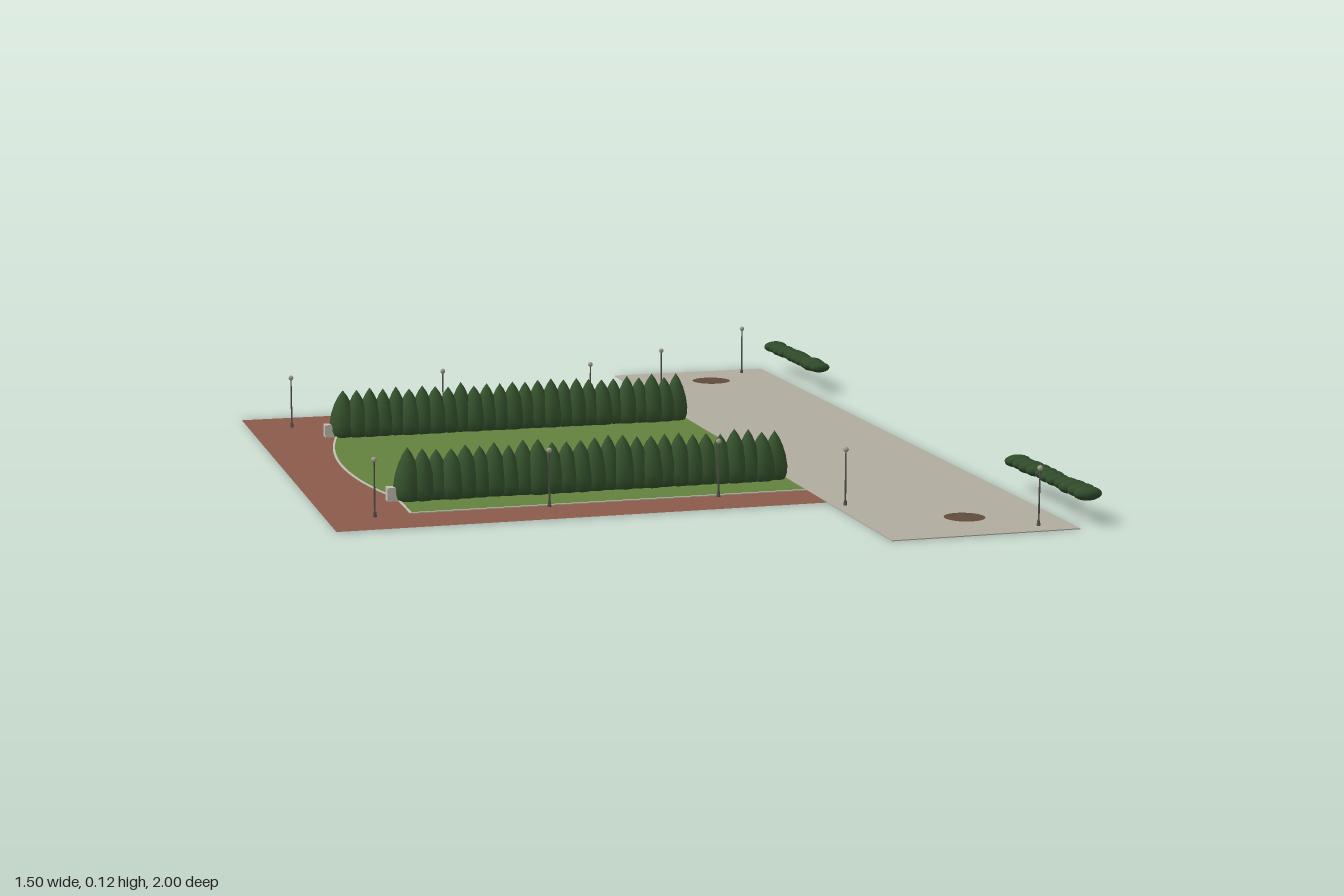
import * as THREE from 'three';

const mat = (name, color, side = THREE.FrontSide) => {
  const m = new THREE.MeshStandardMaterial({ color, side });
  m.name = name;
  return m;
};

export function createModel() {
  const root = new THREE.Group();
  root.name = 'parkPlaza';
  const D = THREE.DoubleSide;
  const brick = mat('brick paving', 0x8a5a4b, D);
  const grass = mat('lawn green', 0x64823f, D);
  const concrete = mat('concrete', 0xb1ac9f, D);
  const stone = mat('pale stone', 0xc4bfb3);
  const soil = mat('soil brown', 0x604b3b);
  const cypressGreen = mat('cypress green', 0x35522d);
  const shrubGreen = mat('shrub green', 0x304b2a);
  const iron = mat('lamp iron', 0x54524e);
  const glass = mat('lamp globe', 0xa39c90);

  let seed = 7;
  const rand = () => (seed = (seed * 16807) % 2147483647) / 2147483647;

  const add = (parent, name, geo, m, x = 0, y = 0, z = 0) => {
    const mesh = new THREE.Mesh(geo, m);
    mesh.name = name;
    mesh.position.set(x, y, z);
    parent.add(mesh);
    return mesh;
  };
  const group = (name) => {
    const g = new THREE.Group();
    g.name = name;
    root.add(g);
    return g;
  };

  // Lawn outline: square corners with a bowed west edge; grow widens it for the kerb
  const outline = (grow = 0) => {
    const pts = [new THREE.Vector2(0.28, -0.5 - grow), new THREE.Vector2(-0.572 - grow, -0.5 - grow)];
    for (let i = 0; i <= 24; i++) {
      const t = -1 + i / 12;
      pts.push(new THREE.Vector2(-0.572 - grow - 0.048 * (1 - t * t), t * 0.35));
    }
    pts.push(new THREE.Vector2(-0.572 - grow, 0.5 + grow), new THREE.Vector2(0.28, 0.5 + grow));
    return pts;
  };
  const flat = (geo) => geo.rotateX(-Math.PI / 2);

  // Paving around the lawn
  const paving = new THREE.Shape([
    new THREE.Vector2(0.28, -0.63), new THREE.Vector2(0.28, -0.5),
    ...outline().slice(1, -1), new THREE.Vector2(0.28, 0.5),
    new THREE.Vector2(0.28, 0.63), new THREE.Vector2(-0.75, 0.63), new THREE.Vector2(-0.75, -0.63),
  ]);
  add(root, 'brickPaving', flat(new THREE.ShapeGeometry(paving)), brick, 0, 0.001, 0);
  add(root, 'lawn', flat(new THREE.ShapeGeometry(new THREE.Shape(outline()))), grass, 0, 0.001, 0);

  // Kerb strip along the lawn edge
  const kerb = new THREE.Shape([...outline(0.003), ...outline(-0.002).reverse()]);
  add(root, 'lawnKerb', flat(new THREE.ExtrudeGeometry(kerb, { depth: 0.003, bevelEnabled: false })), stone);

  // Promenade with two planting circles
  add(root, 'promenade', new THREE.BoxGeometry(0.4, 0.002, 2), concrete, 0.48, 0.001, 0);
  add(root, 'plantingCircleBack', flat(new THREE.CircleGeometry(0.048, 32)), soil, 0.495, 0.0035, -0.848);
  add(root, 'plantingCircleFront', flat(new THREE.CircleGeometry(0.042, 32)), soil, 0.495, 0.0035, 0.848);

  // Two rows of cypresses, each ended by a stone block
  const profile = [[0, 0], [0.026, 0], [0.031, 0.014], [0.032, 0.03], [0.028, 0.055],
    [0.02, 0.08], [0.01, 0.1], [0, 0.114]].map((p) => new THREE.Vector2(...p));
  const cypress = new THREE.LatheGeometry(profile, 10);
  for (const side of [-1, 1]) {
    const row = group(side < 0 ? 'cypressRowBack' : 'cypressRowFront');
    for (let i = 0; i < 27; i++) {
      const tree = add(row, 'cypress', cypress, cypressGreen,
        -0.552 + i * 0.031, 0, side * 0.366 + (rand() - 0.5) * 0.008);
      const w = 0.88 + rand() * 0.14;
      tree.scale.set(w, 0.92 + rand() * 0.1, w);
      tree.rotation.y = rand() * 6;
    }
    add(root, 'stoneBlock', new THREE.BoxGeometry(0.022, 0.03, 0.022), stone, -0.586, 0.015, side * 0.368);
  }

  // Raised rows of flattened shrubs beside the promenade
  const shrub = new THREE.SphereGeometry(1, 14, 10);
  for (const [name, z0] of [['shrubRowBack', -0.982], ['shrubRowFront', 0.611]]) {
    const row = group(name);
    for (let i = 0; i < 11; i++) {
      const s = add(row, 'shrub', shrub, shrubGreen, 0.714 + (rand() - 0.5) * 0.006, 0.062, z0 + i * 0.0345);
      const k = 0.9 + rand() * 0.18;
      s.scale.set(0.029 * k, 0.0135 * k, 0.0195 * k);
    }
  }

  // Lamp posts, mirrored front and back
  const foot = new THREE.CylinderGeometry(0.003, 0.0045, 0.012, 8);
  const pole = new THREE.CylinderGeometry(0.0016, 0.002, 0.115, 8);
  const globe = new THREE.SphereGeometry(0.0058, 12, 8);
  for (const [x, z] of [[-0.65, 0.51], [-0.285, 0.51], [0.08, 0.51], [0.305, 0.665], [0.61, 0.951]]) {
    for (const side of [-1, 1]) {
      const lamp = group('lampPost');
      lamp.position.set(x, 0, side * z + 0.003);
      add(lamp, 'lampFoot', foot, iron, 0, 0.006, 0);
      add(lamp, 'lampPole', pole, iron, 0, 0.0595, 0);
      add(lamp, 'lampGlobe', globe, glass, 0, 0.119, 0);
    }
  }
  return root;
}
